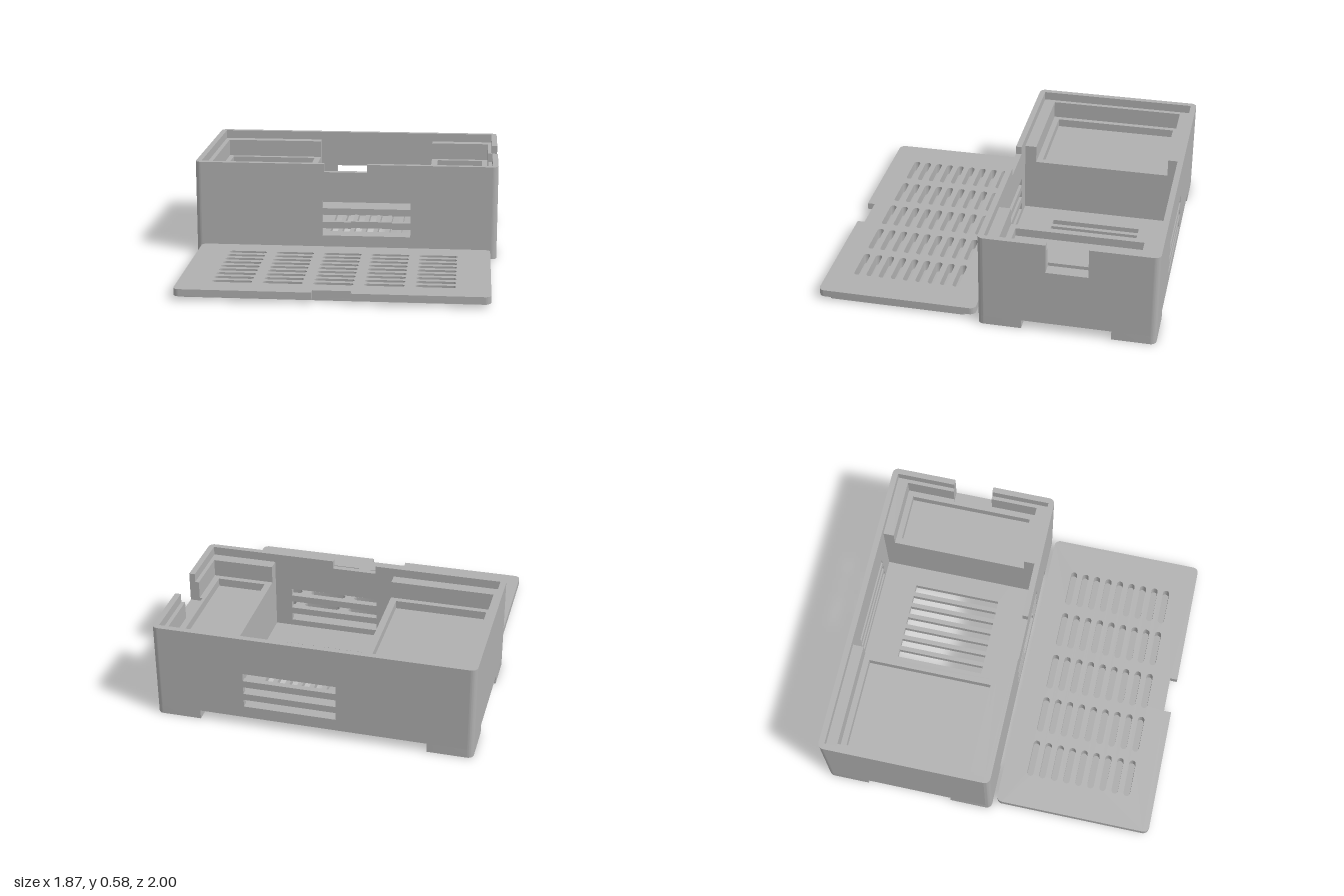
import * as THREE from 'three';
import { toCreasedNormals } from 'three/addons/utils/BufferGeometryUtils.js';

export function createModel() {
  const root = new THREE.Group();
  const grey = new THREE.MeshStandardMaterial({ color: 0xb0b0b0 });
  grey.name = 'plain grey';

  const add = (name, geometry) => {
    const mesh = new THREE.Mesh(geometry, grey);
    mesh.name = name;
    root.add(mesh);
    return mesh;
  };
  const box = (name, x0, x1, y0, y1, z0, z1) =>
    add(name, new THREE.BoxGeometry(x1 - x0, y1 - y0, z1 - z0))
      .position.set((x0 + x1) / 2, (y0 + y1) / 2, (z0 + z1) / 2);
  const poly = (pts, Type = THREE.Shape) => new Type(pts.map(([a, b]) => new THREE.Vector2(a, b)));
  const rectPts = (x0, x1, y0, y1) => [[x0, y0], [x1, y0], [x1, y1], [x0, y1]];
  const hole = (...r) => poly(rectPts(...r), THREE.Path);
  const extrude = (shape, depth) => toCreasedNormals(
    new THREE.ExtrudeGeometry(shape, { depth, bevelEnabled: false, curveSegments: 6 }), 0.6);
  // Horizontal plate: shapes are drawn in (x, -z)
  const plate = (name, shape, y0, y1) =>
    add(name, extrude(shape, y1 - y0).rotateX(-Math.PI / 2).translate(0, y0, 0));
  // Upright plate: shapes are drawn in (x, y)
  const upright = (name, shape, z0, z1) => add(name, extrude(shape, z1 - z0).translate(0, 0, z0));

  // Case dimensions
  const X0 = -0.935, X1 = 0.93, Z0 = -1, Z1 = 0.03, T = 0.035;
  const base = 0.055, top = 0.58, floorTop = 0.09;
  const ix0 = X0 + T, ix1 = X1 - T, iz0 = Z0 + T, iz1 = Z1 - T;

  // Corner posts and feet
  for (const sx of [-1, 1]) for (const sz of [-1, 1]) {
    const ox = sx > 0 ? X1 : X0, oy = sz > 0 ? -Z1 : -Z0;
    const cx = ox - sx * T, cy = oy + sz * T;
    const post = new THREE.Shape();
    post.moveTo(cx, cy);
    post.lineTo(ox, cy);
    const start = sx > 0 ? 0 : Math.PI, end = -sz * Math.PI / 2;
    post.absarc(cx, cy, T, start, end, sx * sz > 0);
    plate('cornerPost', post, base, top);

    const fx = ox - sx * 0.265, fy = oy + sz * 0.255;
    const foot = new THREE.Shape();
    foot.moveTo(fx, fy);
    foot.lineTo(ox, fy);
    foot.lineTo(ox, cy);
    foot.absarc(cx, cy, T, start, end, sx * sz > 0);
    foot.lineTo(fx, oy);
    plate('foot', foot, 0, base);
  }

  // Floor with vent slots
  const floor = poly(rectPts(ix0, ix1, -iz1, -iz0));
  for (let i = 0; i < 7; i++) {
    const x = -0.12 + i * 0.075;
    floor.holes.push(hole(x, x + 0.047, 0.215, 0.755));
  }
  plate('floor', floor, base, floorTop);

  // Back wall with three vents
  const sx0 = -0.145, sx1 = 0.398;
  const slots = [[0.128, 0.174], [0.215, 0.26], [0.302, 0.35]];
  const back = poly(rectPts(ix0, ix1, base, top));
  for (const [a, b] of slots) back.holes.push(hole(sx0, sx1, a, b));
  upright('backWall', back, Z0, iz0);

  // Front wall: vents, top notch, and a shallow recess across the vents outside
  const frontPts = [[ix0, base], [ix1, base], [ix1, top], [0.13, top], [0.13, 0.53],
    [-0.135, 0.53], [-0.135, top], [ix0, top]];
  const inner = poly(frontPts), outer = poly(frontPts);
  for (const [a, b] of slots) inner.holes.push(hole(sx0, sx1, a, b));
  const [low, mid, high] = slots, r0 = 0.03, r1 = 0.225 + 0.06;
  outer.holes.push(hole(sx0, sx1, ...high), poly([
    [sx0, low[0]], [sx1, low[0]], [sx1, low[1]], [r1, low[1]], [r1, mid[0]], [sx1, mid[0]],
    [sx1, mid[1]], [r1, mid[1]], [r1, 0.295], [r0, 0.295], [r0, mid[1]], [sx0, mid[1]],
    [sx0, mid[0]], [r0, mid[0]], [r0, low[1]], [sx0, low[1]]], THREE.Path));
  const zMid = Z1 - 0.018;
  upright('frontWallInner', inner, iz1, zMid);
  upright('frontWallOuter', outer, zMid, Z1);

  // Side walls, the +x one with a cable notch
  const n0 = -0.605, n1 = -0.362, notchY = 0.4, notchX = 0.855;
  box('rightWall', X0, ix0, base, top, iz0, iz1);
  box('leftWallLower', ix1, X1, base, notchY, iz0, iz1);
  box('leftWallUpper', ix1, X1, notchY, top, iz0, n0);
  box('leftWallUpper', ix1, X1, notchY, top, n1, iz1);

  // Raised platforms with pockets, and the ledges around them
  const deck = 0.42, pocket = 0.37, ledge = 0.527;
  const pz0 = -0.9, pz1 = -0.075;
  const ring = (pts, px0, px1) => {
    const s = poly(pts);
    s.holes.push(hole(px0, px1, 0.11, 0.865));
    return s;
  };
  const ends = [
    { x0: ix0, x1: -0.25, px0: -0.84, px1: -0.29 },
    { x0: 0.5, x1: ix1, px0: 0.54, px1: 0.835 },
  ];
  for (const { x0, x1, px0, px1 } of ends) {
    const notched = x1 === ix1;
    box('platform', x0, x1, floorTop, pocket, iz0, iz1);
    const full = rectPts(x0, x1, -iz1, -iz0);
    plate('platformRim', ring(full, px0, px1), pocket, notchY);
    const cut = notched ? [[x0, -iz1], [x1, -iz1], [x1, -n1], [notchX, -n1], [notchX, -n0],
      [x1, -n0], [x1, -iz0], [x0, -iz0]] : full;
    plate('platformRim', ring(cut, px0, px1), notchY, deck);
    box('ledge', x0, x1, deck, ledge, iz0, pz0);
    box('ledge', x0, x1, deck, ledge, pz1, iz1);
    if (notched) {
      box('sideLedge', 0.872, x1, deck, ledge, pz0, n0);
      box('sideLedge', 0.872, x1, deck, ledge, n1, pz1);
    } else {
      box('sideLedge', x0, -0.872, deck, ledge, pz0, pz1);
    }
  }

  // Lid lying in front: rounded plate with a finger notch, and a smaller lip below
  const lidShape = (x0, x1, z0, z1, r, notch) => {
    const s = new THREE.Shape(), a = -z1, b = -z0, h = Math.PI / 2;
    s.moveTo(x0 + r, a);
    if (notch) {
      s.lineTo(-0.11, a);
      s.lineTo(-0.11, -0.955);
      s.lineTo(0.11, -0.955);
      s.lineTo(0.11, a);
    }
    s.absarc(x1 - r, a + r, r, -h, 0, false);
    s.absarc(x1 - r, b - r, r, 0, h, false);
    s.absarc(x0 + r, b - r, r, h, 2 * h, false);
    s.absarc(x0 + r, a + r, r, 2 * h, 3 * h, false);
    // Rounded vent slots
    for (let i = 0; i < 5; i++) for (let j = 0; j < 9; j++) {
      const cx = -0.583 + i * 0.29, cy = -(0.222 + j * 0.0755), q = 0.02, w = 0.115 - q;
      const p = new THREE.Path();
      p.absarc(cx + w, cy, q, -h, h, false);
      p.absarc(cx - w, cy, q, h, 3 * h, false);
      s.holes.push(p);
    }
    return s;
  };
  plate('lid', lidShape(-0.895, 0.89, 0.055, 1, 0.035, true), 0.023, 0.065);
  plate('lidLip', lidShape(-0.875, 0.87, 0.12, 0.935, 0.01, false), 0, 0.023);

  return root;
}
